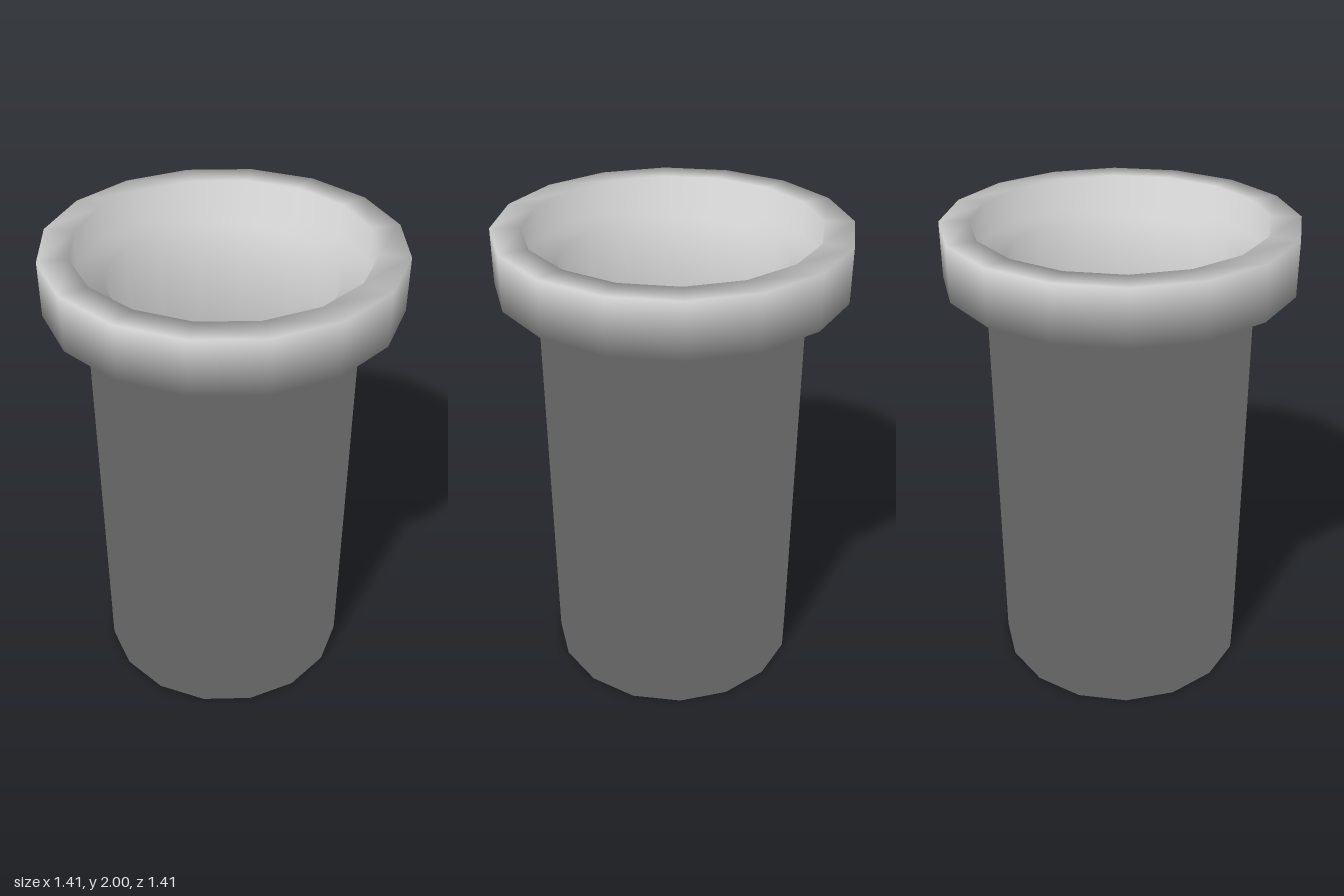
import * as THREE from 'three';

const SIDES = 16;

// Outward unit normal of the outline's edge from a to b
const edgeNormal = (a, b) => new THREE.Vector2(b.y - a.y, a.x - b.x).normalize();

// Turns a closed [radius, height] outline around the y axis. Every corner is
// smooth, its normal halfway between the two edges that meet there.
function turned(name, outline, material) {
  const points = outline.map(([r, y]) => new THREE.Vector2(r, y));
  const count = points.length;
  const corners = points.map((p, j) =>
    edgeNormal(points[(j + count - 1) % count], p)
      .add(edgeNormal(p, points[(j + 1) % count]))
      .normalize());

  const geometry = new THREE.LatheGeometry([...points, points[0]], SIDES);
  const normals = geometry.attributes.normal;
  for (let i = 0; i <= SIDES; i++) {
    const angle = (i / SIDES) * Math.PI * 2;
    for (let j = 0; j <= count; j++) {
      const n = corners[j % count];
      normals.setXYZ(i * (count + 1) + j, n.x * Math.sin(angle), n.y, n.x * Math.cos(angle));
    }
  }

  const mesh = new THREE.Mesh(geometry, material);
  mesh.name = name;
  return mesh;
}

export function createModel() {
  const group = new THREE.Group();
  group.name = 'flangedPipe';
  const grey = new THREE.MeshStandardMaterial({ color: 0xcccccc });

  group.add(turned('pipe', [
    [0.425, 0],     // foot, inner edge
    [0.542, 0],     // foot, outer edge
    [0.542, 1.775], // top of the outer wall
    [0.707, 1.775], // collar, outer bottom edge
    [0.707, 2],     // collar, outer top edge
    [0.588, 2],     // collar, inner top edge
    [0.588, 1.86],  // foot of the socket wall
    [0.462, 1.86],  // socket seat, top of the tapered bore
  ], grey));

  return group;
}
